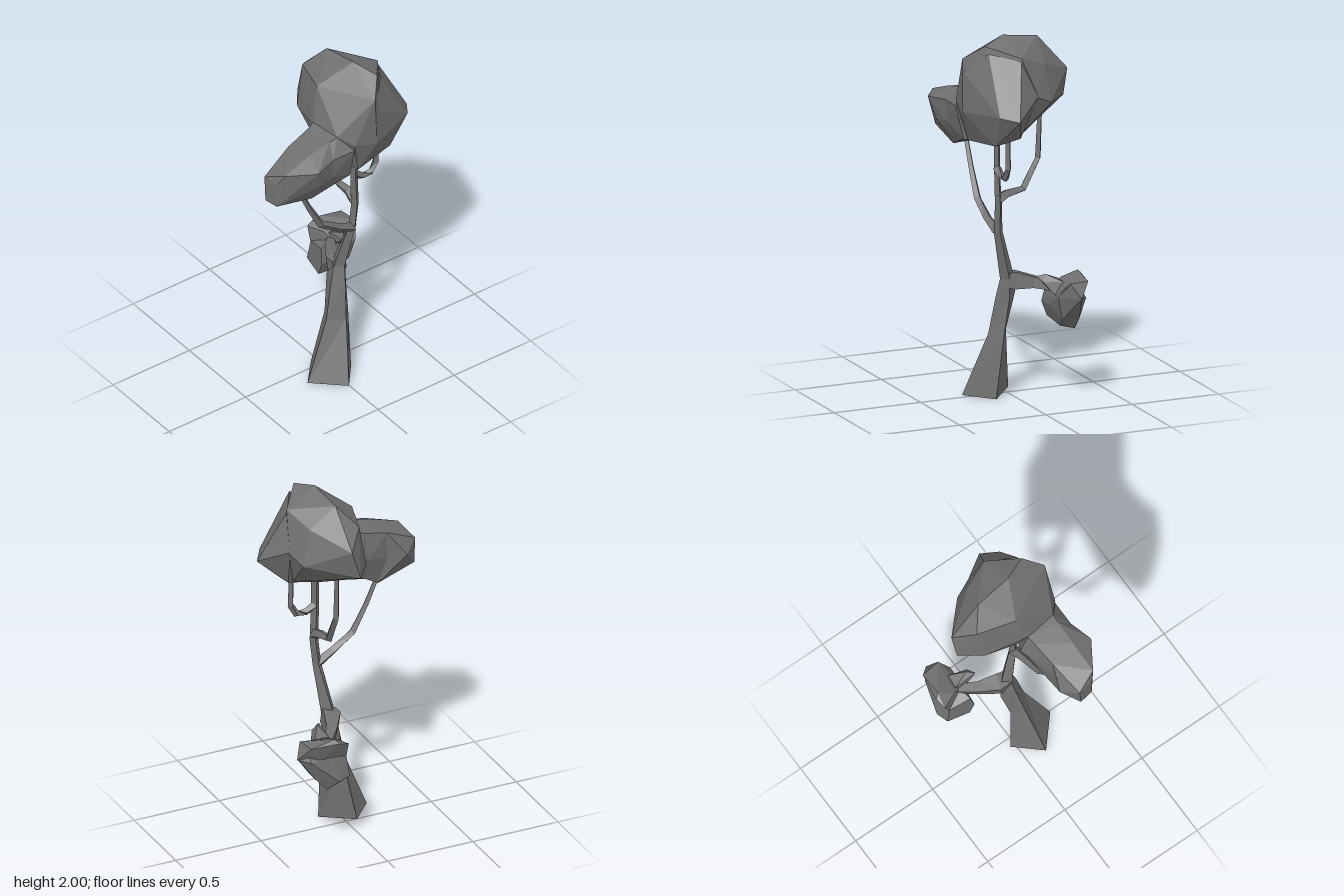
import * as THREE from 'three';
import { ConvexGeometry } from 'three/addons/geometries/ConvexGeometry.js';

const V = (p) => new THREE.Vector3(p[0], p[1], p[2]);

// Flat-faced skin over a series of rings, open at the start and closed at the tip
function loft(rings) {
  const pos = [];
  const tri = (...pts) => pts.forEach((p) => pos.push(p.x, p.y, p.z));
  const n = rings[0].length;
  for (let i = 0; i < rings.length - 1; i++) {
    for (let j = 0; j < n; j++) {
      const k = (j + 1) % n;
      tri(rings[i][j], rings[i][k], rings[i + 1][k]);
      tri(rings[i][j], rings[i + 1][k], rings[i + 1][j]);
    }
  }
  const last = rings[rings.length - 1];
  for (let j = 1; j < n - 1; j++) tri(last[0], last[j], last[j + 1]);
  const g = new THREE.BufferGeometry();
  g.setAttribute('position', new THREE.Float32BufferAttribute(pos, 3));
  g.computeVertexNormals();
  return g;
}

// Four-sided tapering limb along points [x, y, z, radius]
function limb(path) {
  const pts = path.map(V);
  const ref = new THREE.Vector3(0.5, 0.13, -0.86).normalize();
  return loft(pts.map((p, i) => {
    const t = pts[Math.min(i + 1, pts.length - 1)].clone().sub(pts[Math.max(i - 1, 0)]).normalize();
    const u = ref.clone().cross(t).normalize();
    const v = t.clone().cross(u);
    return [0, 1, 2, 3].map((k) => {
      const a = (k * Math.PI) / 2 + Math.PI / 4;
      return p.clone().addScaledVector(u, Math.cos(a) * path[i][3]).addScaledVector(v, Math.sin(a) * path[i][3]);
    });
  }));
}

const hull = (points) => new ConvexGeometry(points.map(V));

export function createModel() {
  const model = new THREE.Group();
  model.name = 'tree';
  const grey = new THREE.MeshStandardMaterial({ color: 0x707070, flatShading: true, side: THREE.DoubleSide });
  grey.name = 'dark grey';
  const add = (name, geometry) => {
    const mesh = new THREE.Mesh(geometry, grey);
    mesh.name = name;
    model.add(mesh);
  };

  // Trunk: flared open foot, then a slim leaning stem; corners are left, front, right, back
  const trunk = [
    [[-0.03, 0.015, 0.05], [0.11, 0.015, 0.175], [0.255, 0.01, 0.01], [0.11, 0, -0.11]],
    [[0.01, 0.35, -0.01], [0.08, 0.35, 0.03], [0.135, 0.35, -0.06], [0.07, 0.35, -0.12]],
    [[-0.025, 0.56, -0.05], [0.055, 0.56, -0.02], [0.1, 0.56, -0.08], [0.04, 0.56, -0.125]],
    [[-0.005, 0.66, -0.075], [0.045, 0.65, -0.045], [0.08, 0.65, -0.09], [0.04, 0.65, -0.125]],
    [[0.08, 0.92, -0.12], [0.105, 0.92, -0.095], [0.13, 0.92, -0.12], [0.105, 0.92, -0.145]],
    [[0.09, 1.07, -0.135], [0.11, 1.07, -0.11], [0.13, 1.07, -0.135], [0.11, 1.07, -0.16]],
    [[0.097, 1.25, -0.125], [0.115, 1.25, -0.102], [0.13, 1.25, -0.125], [0.115, 1.25, -0.15]],
    [[0.098, 1.48, -0.125], [0.115, 1.48, -0.102], [0.132, 1.48, -0.125], [0.115, 1.48, -0.148]],
  ];
  add('trunk', loft(trunk.map((ring) => ring.map(V))));

  // Branches
  add('frontBranch', limb([[0.107, 0.92, -0.12, 0.03], [0.12, 0.97, -0.02, 0.024], [0.125, 1.05, 0.1, 0.022],
    [0.125, 1.2, 0.18, 0.017], [0.125, 1.38, 0.26, 0.014]]));
  add('sideBranch', limb([[0.11, 1.1, -0.13, 0.035], [0.06, 1.125, -0.13, 0.027], [-0.04, 1.14, -0.12, 0.022],
    [-0.125, 1.3, -0.12, 0.019], [-0.14, 1.65, -0.12, 0.014]]));
  add('backBranch', limb([[0.115, 1.27, -0.13, 0.025], [0.115, 1.24, -0.18, 0.02], [0.115, 1.24, -0.235, 0.02],
    [0.115, 1.3, -0.27, 0.019], [0.115, 1.5, -0.265, 0.016]]));
  add('lowBranch', limb([[0.04, 0.64, -0.088, 0.055], [-0.005, 0.637, -0.09, 0.065], [-0.1, 0.625, -0.135, 0.042],
    [-0.22, 0.6, -0.22, 0.026]]));

  // Main crown and the lobe bulging out behind it
  add('crown', hull([
    [0.09, 2.0, -0.14], [-0.12, 1.97, -0.12], [0.22, 1.965, -0.2], [0.06, 1.91, -0.32], [-0.1, 1.85, -0.26],
    [0.312, 1.89, -0.12], [0.01, 1.87, 0.04], [-0.2, 1.86, -0.02], [-0.3, 1.77, -0.11], [-0.3, 1.61, -0.06],
    [-0.18, 1.62, 0.03], [0.05, 1.68, 0.095], [0.23, 1.68, 0.07], [0.295, 1.63, 0.0],
    [-0.03, 1.69, -0.345], [-0.12, 1.65, -0.31], [0.2, 1.44, -0.3], [0.08, 1.42, -0.12],
    [0.06, 1.47, -0.28], [-0.07, 1.53, -0.06], [0.02, 1.47, 0.03], [0.25, 1.42, -0.05], [0.315, 1.6, -0.13],
  ]));
  add('crownBack', hull([
    [0.13, 1.6, -0.46], [0.22, 1.62, -0.4], [0.06, 1.64, -0.39], [0.2, 1.44, -0.3], [0.06, 1.47, -0.31],
    [0.06, 1.89, -0.32], [0.21, 1.93, -0.23], [0.31, 1.82, -0.12], [0.315, 1.6, -0.13], [0.08, 1.43, -0.14],
    [-0.03, 1.7, -0.342],
  ]));

  // Forward lobe: base, neck and tip that meet at shared sections
  const waist = [[0.06, 1.66, 0.14], [0.23, 1.668, 0.12], [0.295, 1.6, 0.14], [0.285, 1.48, 0.14],
    [0.23, 1.37, 0.12], [0.055, 1.39, 0.14], [0.02, 1.52, 0.14]];
  const joint = [[0.08, 1.62, 0.28], [0.23, 1.64, 0.25], [0.335, 1.59, 0.27], [0.3, 1.47, 0.24],
    [0.21, 1.33, 0.22], [0.068, 1.34, 0.22], [0.07, 1.48, 0.28]];
  add('lobeBase', hull([...waist,
    [0.05, 1.68, 0.095], [0.23, 1.68, 0.07], [0.295, 1.6, 0.0], [0.0, 1.55, 0.095],
    [0.03, 1.45, 0.07], [0.25, 1.41, 0.0], [0.08, 1.42, -0.08]]));
  add('lobeNeck', hull([...waist, ...joint]));
  add('lobeTip', hull([...joint,
    [0.12, 1.53, 0.465], [0.21, 1.52, 0.45], [0.24, 1.585, 0.42], [0.05, 1.48, 0.385],
    [0.13, 1.38, 0.465], [0.21, 1.38, 0.45]]));

  // Small low clump: a rounded body, a ragged cap and a tuft
  add('lowClump', hull([
    [-0.29, 0.57, -0.14], [-0.17, 0.6, -0.12], [-0.15, 0.57, -0.24], [-0.15, 0.58, -0.33], [-0.25, 0.58, -0.405],
    [-0.2, 0.655, -0.37], [-0.25, 0.655, -0.36], [-0.3, 0.57, -0.35], [-0.3, 0.57, -0.22],
    [-0.33, 0.44, -0.2], [-0.31, 0.45, -0.13], [-0.28, 0.38, -0.25], [-0.2, 0.4, -0.24],
    [-0.18, 0.43, -0.11], [-0.15, 0.51, -0.11], [-0.15, 0.51, -0.2], [-0.18, 0.45, -0.31], [-0.28, 0.45, -0.31],
  ]));
  add('lowClumpCap', hull([
    [-0.335, 0.67, -0.2], [-0.31, 0.69, -0.22], [-0.32, 0.65, -0.14], [-0.29, 0.56, -0.14], [-0.23, 0.65, -0.18],
    [-0.31, 0.66, -0.355], [-0.25, 0.58, -0.41], [-0.2, 0.66, -0.37], [-0.15, 0.58, -0.3], [-0.16, 0.6, -0.2],
    [-0.29, 0.56, -0.3],
  ]));
  add('lowClumpTuft', hull([
    [-0.12, 0.69, -0.23], [-0.08, 0.675, -0.2], [-0.1, 0.65, -0.25], [-0.16, 0.57, -0.29],
    [-0.17, 0.6, -0.19], [-0.21, 0.65, -0.2], [-0.2, 0.65, -0.28],
  ]));
  return model;
}
